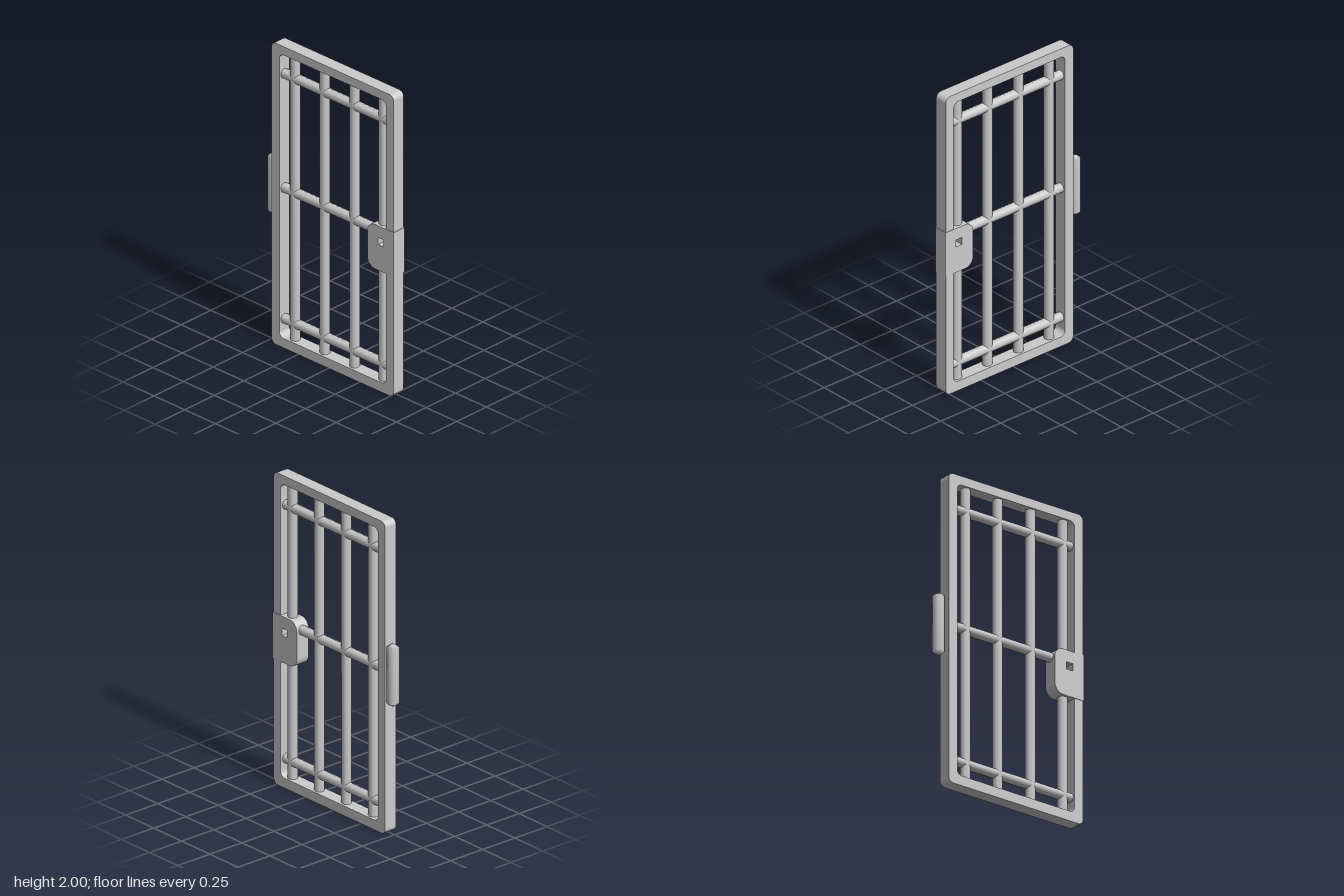
import * as THREE from 'three';

const material = new THREE.MeshStandardMaterial({ color: 0xcccccc });

// Traces a rounded rectangle; rl and rr are the left and right corner radii
function roundedRect(path, x0, y0, x1, y1, rl, rr = rl) {
  path.moveTo(x0 + rl, y0);
  path.lineTo(x1 - rr, y0);
  if (rr) path.absarc(x1 - rr, y0 + rr, rr, -Math.PI / 2, 0);
  path.lineTo(x1, y1 - rr);
  if (rr) path.absarc(x1 - rr, y1 - rr, rr, 0, Math.PI / 2);
  path.lineTo(x0 + rl, y1);
  path.absarc(x0 + rl, y1 - rl, rl, Math.PI / 2, Math.PI);
  path.lineTo(x0, y0 + rl);
  path.absarc(x0 + rl, y0 + rl, rl, Math.PI, Math.PI * 1.5);
  return path;
}

// Extrudes an outline with one opening, centred on z = 0
function plate(name, outline, hole, depth) {
  outline.holes.push(hole);
  const geometry = new THREE.ExtrudeGeometry(outline, { depth, bevelEnabled: false, curveSegments: 4 });
  geometry.translate(0, 0, -depth / 2);
  const mesh = new THREE.Mesh(geometry, material);
  mesh.name = name;
  return mesh;
}

// Eight-sided smooth bar between two points in the door plane
function bar(name, x0, y0, x1, y1) {
  const length = Math.hypot(x1 - x0, y1 - y0);
  const mesh = new THREE.Mesh(new THREE.CylinderGeometry(0.031, 0.031, length, 8), material);
  mesh.position.set((x0 + x1) / 2, (y0 + y1) / 2, 0);
  if (y0 === y1) mesh.rotation.z = Math.PI / 2;
  mesh.name = name;
  return mesh;
}

export function createModel() {
  const door = new THREE.Group();
  door.name = 'barredDoor';

  // Rounded outer frame
  door.add(plate('frame',
    roundedRect(new THREE.Shape(), -0.465, 0, 0.528, 2, 0.035),
    roundedRect(new THREE.Path(), -0.402, 0.063, 0.466, 1.943, 0.035), 0.085));

  // Upright bars; the last one is interrupted by the lock
  for (const x of [-0.312, -0.072, 0.169]) door.add(bar('uprightBar', x, 0.04, x, 1.965));
  door.add(bar('lowerLockSideBar', 0.407, 0.04, 0.407, 0.82));
  door.add(bar('upperLockSideBar', 0.407, 1.08, 0.407, 1.965));

  // Cross bars; the middle one stops at the lock
  for (const [y, end] of [[0.17, 0.49], [1.038, 0.34], [1.796, 0.49]]) {
    door.add(bar('crossBar', -0.42, y, end, y));
  }

  // Lock case with a square keyhole
  const keyhole = new THREE.Path();
  keyhole.moveTo(0.405, 0.973).lineTo(0.405, 1.02).lineTo(0.45, 1.02).lineTo(0.45, 0.973).closePath();
  door.add(plate('lockCase',
    roundedRect(new THREE.Shape(), 0.318, 0.802, 0.532, 1.097, 0.06, 0), keyhole, 0.092));

  // Hinge barrel with chamfered ends
  const profile = [[0, 0.83], [0.014, 0.832], [0.037, 0.849], [0.037, 1.207], [0.014, 1.223], [0, 1.225]]
    .map(([r, y]) => new THREE.Vector2(r, y));
  const hinge = new THREE.Mesh(new THREE.LatheGeometry(profile, 8), material);
  hinge.position.set(-0.5, 0, -0.012);
  hinge.name = 'hinge';
  door.add(hinge);

  return door;
}
